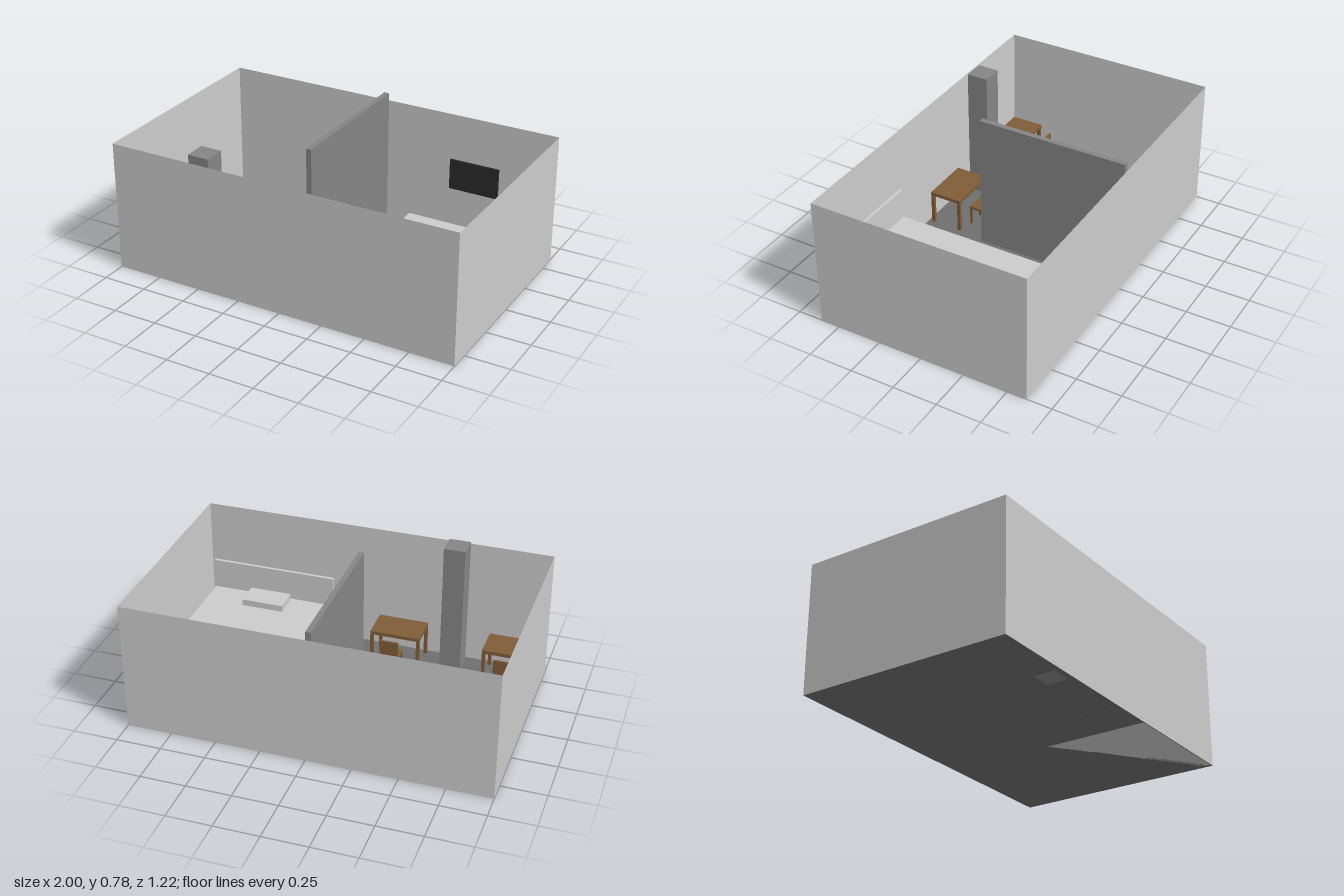
import * as THREE from 'three';

export function createModel() {
  const model = new THREE.Group();
  const mat = (color) => new THREE.MeshStandardMaterial({ color });
  const wallMat = mat(0xcccccc);
  wallMat.side = THREE.DoubleSide;
  const floorMat = mat(0x6e6e6e);
  floorMat.side = THREE.DoubleSide;
  const darkGrey = mat(0x858585);
  const linen = mat(0xdcdcdc);
  const wood = mat(0x805c38);
  const black = mat(0x2a2a2a);

  const W = 2, D = 1.22, H = 0.735;

  // Box given by its minimum and maximum corners
  function box(name, x, y, z, material, parent = model) {
    const mesh = new THREE.Mesh(
      new THREE.BoxGeometry(x[1] - x[0], y[1] - y[0], z[1] - z[0]), material);
    mesh.position.set((x[0] + x[1]) / 2, (y[0] + y[1]) / 2, (z[0] + z[1]) / 2);
    mesh.name = name;
    parent.add(mesh);
  }

  // Thin sheet of the room shell
  function sheet(name, w, h, position, rotation, material) {
    const mesh = new THREE.Mesh(new THREE.PlaneGeometry(w, h), material);
    mesh.position.set(...position);
    mesh.rotation.set(...rotation);
    mesh.name = name;
    model.add(mesh);
  }

  // Open-topped room
  sheet('floor', W, D, [0, 0, 0], [-Math.PI / 2, 0, 0], floorMat);
  sheet('frontWall', W, H, [0, H / 2, D / 2], [0, 0, 0], wallMat);
  sheet('backWall', W, H, [0, H / 2, -D / 2], [0, Math.PI, 0], wallMat);
  sheet('leftWall', D, H, [W / 2, H / 2, 0], [0, Math.PI / 2, 0], wallMat);
  sheet('rightWall', D, H, [-W / 2, H / 2, 0], [0, -Math.PI / 2, 0], wallMat);

  // Partition and tall cabinet
  box('partition', [-0.04, -0.01], [0, 0.78], [-0.605, 0.25], darkGrey);
  box('tallCabinet', [-0.545, -0.425], [0, 0.763], [0.455, 0.577], darkGrey);

  // Bed against the front wall
  const bed = new THREE.Group();
  bed.name = 'bed';
  model.add(bed);
  box('mattress', [0.25, 0.98], [0, 0.205], [-0.37, 0.587], linen, bed);
  box('headboard', [0.25, 0.98], [0, 0.38], [0.587, 0.605], linen, bed);
  box('pillow', [0.508, 0.75], [0.205, 0.242], [0.43, 0.575], linen, bed);

  // Screen on the back wall
  box('screen', [0.39, 0.68], [0.305, 0.48], [-0.587, -0.573], black);

  // Four legs set at the corners of a rectangle
  function legs(name, x, z, height, size, parent) {
    for (const lx of [x[0], x[1] - size])
      for (const lz of [z[0], z[1] - size])
        box(name, [lx, lx + size], [0, height], [lz, lz + size], wood, parent);
  }

  // Two desks, each with a chair facing it
  for (const cx of [-0.82, -0.175]) {
    const desk = new THREE.Group();
    desk.name = 'desk';
    model.add(desk);
    const dx = [cx - 0.143, cx + 0.143], dz = [0.403, 0.59];
    box('deskTop', dx, [0.178, 0.198], dz, wood, desk);
    legs('deskLeg', dx, dz, 0.178, 0.018, desk);

    const chair = new THREE.Group();
    chair.name = 'chair';
    model.add(chair);
    const sx = [cx - 0.053, cx + 0.053], sz = [0.287, 0.392];
    box('chairSeat', sx, [0.1, 0.115], sz, wood, chair);
    box('chairBack', sx, [0.115, 0.22], [0.287, 0.299], wood, chair);
    legs('chairLeg', sx, sz, 0.1, 0.012, chair);
  }

  return model;
}
